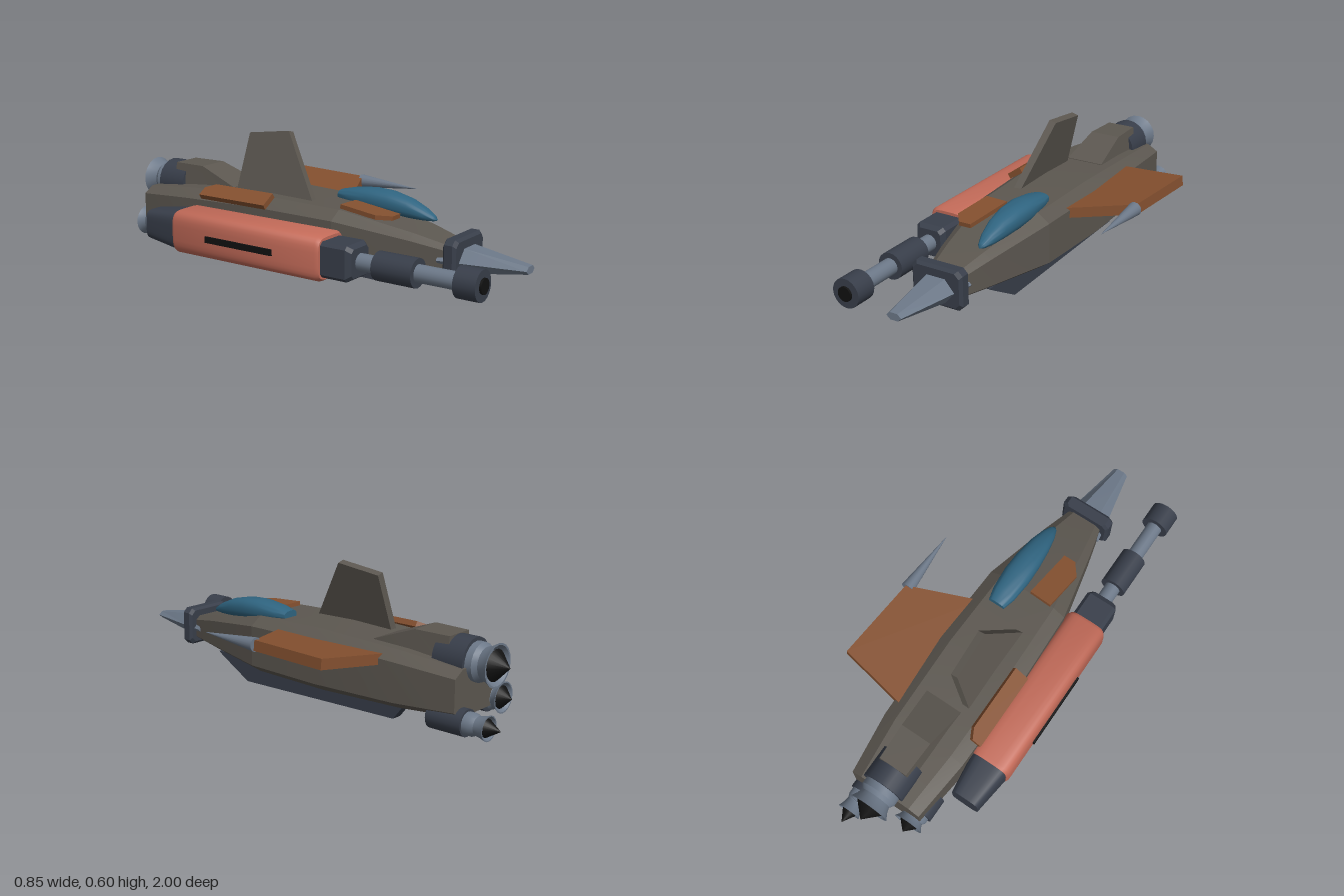
import * as THREE from 'three';
import { toCreasedNormals } from 'three/addons/utils/BufferGeometryUtils.js';

const mat = (color) => new THREE.MeshStandardMaterial({ color, side: THREE.DoubleSide });

export function createModel() {
  const ship = new THREE.Group();
  ship.name = 'spaceship';
  const hullMat = mat(0x5c5750), dark = mat(0x383e4a), steel = mat(0x6c7888), rust = mat(0x84502f);
  const salmon = mat(0xc26a58), glass = mat(0x2f6480), black = mat(0x111111);

  const add = (name, geo, material, x = 0, y = 0, z = 0, parent = ship) => {
    const mesh = new THREE.Mesh(geo, material);
    mesh.name = name;
    mesh.position.set(x, y, z);
    parent.add(mesh);
    return mesh;
  };

  // Skin over cross-sections running from back to front, each {z, pts} counter-clockwise from the front
  const loft = (sections, crease = 0.1) => {
    const pos = [];
    const tri = (...corners) => corners.forEach(([p, z]) => pos.push(p[0], p[1], z));
    const n = sections[0].pts.length;
    for (let s = 0; s < sections.length - 1; s++) {
      const a = sections[s], b = sections[s + 1];
      for (let i = 0; i < n; i++) {
        const j = (i + 1) % n;
        tri([a.pts[i], a.z], [a.pts[j], a.z], [b.pts[j], b.z]);
        tri([a.pts[i], a.z], [b.pts[j], b.z], [b.pts[i], b.z]);
      }
    }
    const first = sections[0], last = sections[sections.length - 1];
    for (let i = 1; i < n - 1; i++) {
      tri([first.pts[0], first.z], [first.pts[i + 1], first.z], [first.pts[i], first.z]);
      tri([last.pts[0], last.z], [last.pts[i], last.z], [last.pts[i + 1], last.z]);
    }
    const geo = new THREE.BufferGeometry();
    geo.setAttribute('position', new THREE.Float32BufferAttribute(pos, 3));
    return toCreasedNormals(geo, crease);
  };

  // Rectangle with cut corners
  const octagon = (x, y, w, h, cw, ch) => [
    [x + w, y - h + ch], [x + w, y + h - ch], [x + w - cw, y + h], [x - w + cw, y + h],
    [x - w, y + h - ch], [x - w, y - h + ch], [x - w + cw, y - h], [x + w - cw, y - h],
  ];

  // Superellipse: power 1 is round, smaller is squarer
  const round = (x, y, w, h, power, n = 24) => Array.from({ length: n }, (_, i) => {
    const a = ((i + 0.5) / n) * Math.PI * 2, c = Math.cos(a), s = Math.sin(a);
    return [x + w * Math.sign(c) * Math.abs(c) ** power, y + h * Math.sign(s) * Math.abs(s) ** power];
  });

  // Flat slab from an outline of [x, z], centred on its thickness
  const slab = (outline, thickness) => {
    const shape = new THREE.Shape(outline.map(([x, z]) => new THREE.Vector2(x, -z)));
    return new THREE.ExtrudeGeometry(shape, { depth: thickness, bevelEnabled: false })
      .translate(0, 0, -thickness / 2).rotateX(-Math.PI / 2);
  };

  // Faceted hull: z, half width, bottom, top
  const hx = -0.055;
  const hullRows = [
    [-0.82, 0.165, 0.107, 0.297], [-0.55, 0.195, 0.09, 0.325], [-0.15, 0.202, 0.08, 0.342],
    [0.22, 0.188, 0.084, 0.333], [0.54, 0.118, 0.115, 0.275], [0.69, 0.08, 0.13, 0.24],
  ];
  add('hull', loft(hullRows.map(([z, w, b, t]) => ({
    z, pts: octagon(hx, (b + t) / 2, w, (t - b) / 2, w * 0.29, (t - b) * 0.15),
  }))), hullMat);

  // Nose collar and hexagonal nose spike
  add('noseCollar', loft([[0.685, 0.106], [0.695, 0.117], [0.73, 0.117], [0.742, 0.106]].map(([z, w]) => (
    { z, pts: octagon(hx, 0.195, w, w - 0.033, 0.02, 0.02) }))), dark);
  const hex = (w, h) => [[1, 0], [0.5, 1], [-0.5, 1], [-1, 0], [-0.5, -1], [0.5, -1]]
    .map(([x, y]) => [hx + x * w, 0.186 + y * h]);
  add('noseSpike', loft([
    { z: 0.65, pts: hex(0.1, 0.056) }, { z: 0.74, pts: hex(0.085, 0.05) }, { z: 1, pts: hex(0.034, 0.015) },
  ]), steel);

  // Canopy: z, half width, bottom, top
  const canopyRows = [
    [0.095, 0.038, 0.325, 0.365], [0.15, 0.052, 0.312, 0.378], [0.25, 0.06, 0.298, 0.391],
    [0.34, 0.057, 0.293, 0.387], [0.43, 0.046, 0.289, 0.367], [0.5, 0.031, 0.288, 0.337],
    [0.54, 0.016, 0.29, 0.312], [0.553, 0.004, 0.294, 0.3],
  ];
  add('canopy', loft(canopyRows.map(([z, w, b, t]) => (
    { z, pts: round(0.02, (b + t) / 2, w, (t - b) / 2, 0.8) })), 0.9), glass);

  // Dorsal hump ahead of the main engine
  const hump = (z, bottomHalf, topHalf, top) => (
    { z, pts: [[0.05 + bottomHalf - 0.09, 0.27], [topHalf - 0.04, top], [-topHalf - 0.04, top], [-bottomHalf - 0.04, 0.27]] });
  add('dorsalHump', loft([
    hump(-0.73, 0.08, 0.064, 0.403), hump(-0.57, 0.088, 0.07, 0.404), hump(-0.38, 0.09, 0.085, 0.335),
  ]), hullMat);

  // Leaning tail fin
  const fin = add('tailFin', slab([[-0.04, 0.07], [0, 0.045], [0.262, -0.12], [0.235, -0.324], [0, -0.345], [-0.04, -0.35]], 0.032),
    hullMat, -0.123, 0.345, 0);
  fin.rotation.z = 1.303;

  // Belly keel
  const keel = add('bellyKeel', slab([[0.11, 0.52], [0.095, 0.5], [0.003, 0.34], [0.018, -0.48], [0.095, -0.54], [0.11, -0.55]], 0.047),
    dark, 0.017, 0, 0);
  keel.rotation.z = Math.PI / 2;

  // Single wing with a tip spike
  const wing = add('wing', slab([[-0.05, -0.487], [0.28, -0.43], [0.25, -0.05], [-0.05, 0.085]], 0.044), rust, 0.143, 0.288, 0);
  wing.rotation.z = 0.113;
  add('wingTipSpike', new THREE.ConeGeometry(0.03, 0.295, 16).rotateX(Math.PI / 2), steel, 0.381, 0.317, 0.098);

  // Armour plates
  const upper = add('shoulderPlate', slab([
    [-0.037, -0.45], [0.01, -0.45], [0.037, -0.405], [0.037, -0.1], [-0.037, -0.1]], 0.024), rust, -0.234, 0.331, 0);
  upper.rotation.z = 0.56;
  const fore = add('forwardPlate', slab([
    [-0.045, -0.12], [0.058, -0.115], [0.033, 0.115], [-0.022, 0.115], [-0.064, 0.06]], 0.018), rust, -0.127, 0.332, 0.335);
  fore.rotation.x = 0.09;
  const under = add('bellyPlate', slab([
    [-0.1, -0.42], [0.06, -0.42], [0.1, -0.36], [0.1, 0], [0.05, 0.05], [-0.1, 0.05]], 0.018), rust, -0.139, 0.08, 0);
  under.rotation.z = -0.04;

  // Engines: casing, flared bell and dark exhaust cone
  const engine = (name, x, y, r, zFront, zMid, zEnd, zTip) => {
    const group = new THREE.Group();
    group.name = name;
    group.position.set(x, y, 0);
    ship.add(group);
    const len = zFront - zMid;
    add('casing', new THREE.CylinderGeometry(r, r, len, 20).rotateX(Math.PI / 2), dark, 0, 0, (zFront + zMid) / 2, group);
    const bell = zMid - zEnd;
    const profile = [[0.84, 0], [0.84, 0.3], [0.7, 0.5], [0.78, 0.75], [0.93, 1], [0.85, 1], [0.6, 0.6], [0, 0.6]]
      .map(([pr, t]) => new THREE.Vector2(pr * r, t * bell));
    add('bell', toCreasedNormals(new THREE.LatheGeometry(profile, 20).rotateX(-Math.PI / 2), 0.5), steel, 0, 0, zMid, group);
    const coneLen = zEnd - zTip + 0.01;
    add('exhaustCone', new THREE.ConeGeometry(r * 0.68, coneLen, 20).rotateX(-Math.PI / 2), black, 0, 0, zTip + coneLen / 2, group);
  };
  engine('mainEngine', -0.04, 0.307, 0.095, -0.67, -0.81, -0.908, -0.963);
  engine('lowerLeftEngine', 0.061, 0.093, 0.055, -0.69, -0.85, -0.945, -0.997);
  engine('lowerRightEngine', -0.18, 0.135, 0.07, -0.69, -0.79, -0.852, -0.89);

  // Gun pod: rounded body, tapered tail, breech block and barrel
  const px = -0.328, py = 0.182;
  const podSection = ([z, w]) => ({ z, pts: round(px, py, w, w, 0.48, 32) });
  add('gunPod', loft([[-0.475, 0.088], [-0.46, 0.094], [0.265, 0.094], [0.28, 0.085]].map(podSection), 0.7), salmon);
  add('gunPodTail', loft([[-0.65, 0.064], [-0.47, 0.086]].map(podSection), 0.7), dark);
  add('gunBreech', loft([[0.25, 0.072], [0.395, 0.072], [0.417, 0.058]].map(([z, w]) => (
    { z, pts: octagon(px, py, w, w, 0.014, 0.014) }))), dark);
  add('podVent', new THREE.BoxGeometry(0.02, 0.026, 0.345), black, px - 0.092, py, -0.112);
  const tube = (name, r, z0, z1, material) => add(name,
    new THREE.CylinderGeometry(r, r, z1 - z0, 20).rotateX(Math.PI / 2), material, px + 0.002, py, (z0 + z1) / 2);
  tube('gunBarrel', 0.035, 0.4, 0.9, steel);
  tube('barrelSleeve', 0.058, 0.5, 0.675, dark);
  tube('muzzle', 0.062, 0.852, 0.945, dark);
  tube('muzzleBore', 0.031, 0.9, 0.954, black);

  return ship;
}
